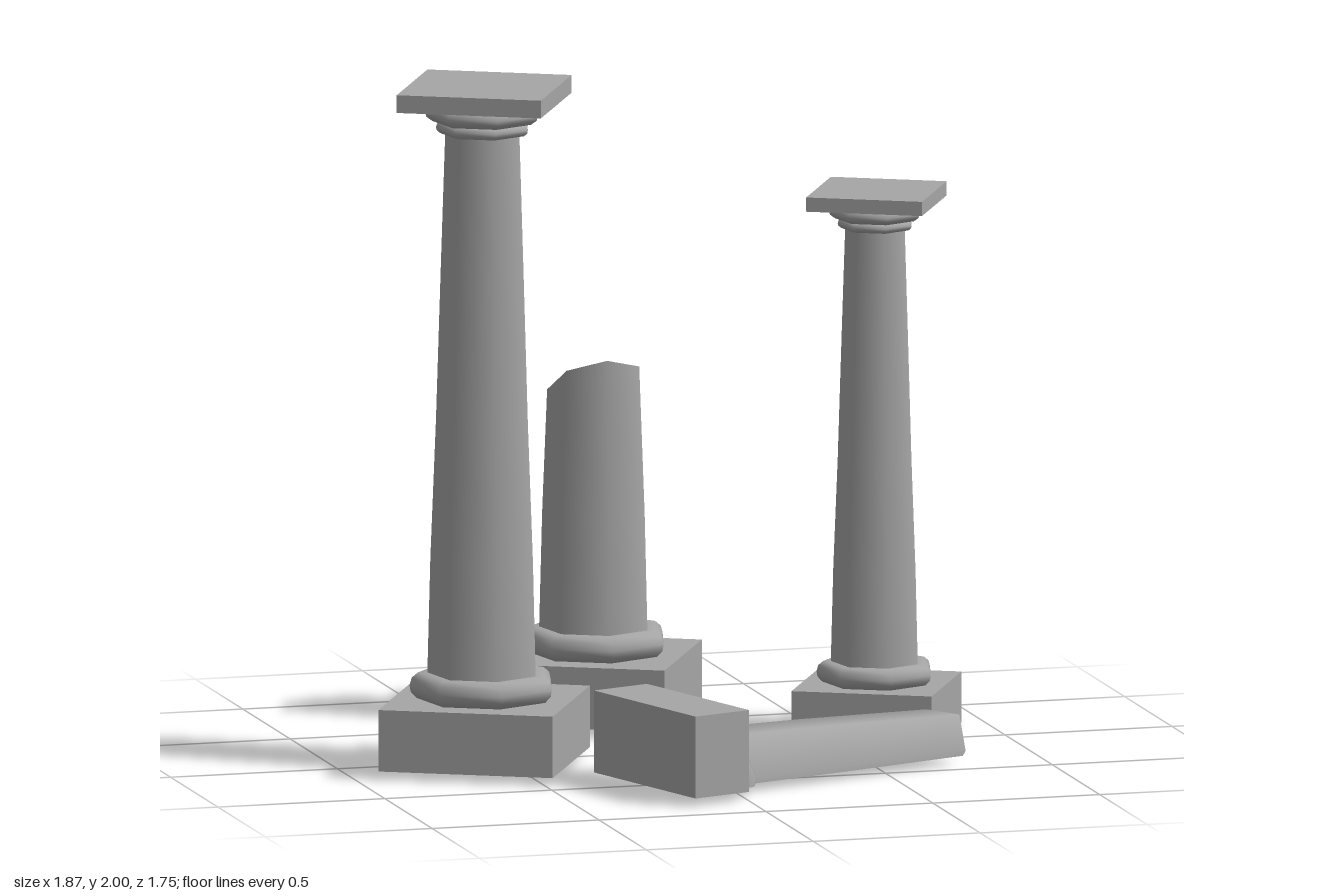
import * as THREE from 'three';

const SIDES = 7;
const material = new THREE.MeshStandardMaterial({ color: 0xa6a6a6, side: THREE.DoubleSide });

// Keeps the part of a geometry on the positive side of a plane; also returns the cut segments
function clip(source, plane) {
  const geo = source.index ? source.toNonIndexed() : source;
  const P = geo.attributes.position, N = geo.attributes.normal;
  const pos = [], nor = [], segments = [];
  for (let i = 0; i < P.count; i += 3) {
    const corners = [0, 1, 2].map((k) => {
      const p = new THREE.Vector3().fromBufferAttribute(P, i + k);
      return { p, n: new THREE.Vector3().fromBufferAttribute(N, i + k), d: plane.distanceToPoint(p) };
    });
    const poly = [], cut = [];
    corners.forEach((a, k) => {
      const b = corners[(k + 1) % 3];
      if (a.d >= 0) poly.push(a);
      if (a.d >= 0 !== b.d >= 0) {
        const t = a.d / (a.d - b.d);
        const c = { p: a.p.clone().lerp(b.p, t), n: a.n.clone().lerp(b.n, t).normalize() };
        poly.push(c);
        cut.push(c.p);
      }
    });
    if (cut.length === 2) segments.push(cut);
    for (let k = 1; k + 1 < poly.length; k++) {
      for (const v of [poly[0], poly[k], poly[k + 1]]) {
        pos.push(...v.p.toArray());
        nor.push(...v.n.toArray());
      }
    }
  }
  return { geometry: makeGeometry(pos, nor), segments };
}

function makeGeometry(pos, nor) {
  const geo = new THREE.BufferGeometry();
  geo.setAttribute('position', new THREE.Float32BufferAttribute(pos, 3));
  geo.setAttribute('normal', new THREE.Float32BufferAttribute(nor, 3));
  return geo;
}

// Flat face closing a convex cut
function capFace(segments, normal) {
  const centre = new THREE.Vector3();
  segments.forEach(([a, b]) => centre.add(a).add(b));
  centre.divideScalar(segments.length * 2);
  const pos = [], nor = [];
  for (const [a, b] of segments) {
    const cross = a.clone().sub(centre).cross(b.clone().sub(centre));
    const tri = cross.dot(normal) > 0 ? [centre, a, b] : [centre, b, a];
    for (const v of tri) {
      pos.push(...v.toArray());
      nor.push(...normal.toArray());
    }
  }
  return makeGeometry(pos, nor);
}

const lathe = (points) =>
  new THREE.LatheGeometry(points.map(([r, y]) => new THREE.Vector2(r, y)), SIDES);

const slab = (size, bottom, top) =>
  new THREE.BoxGeometry(size, top - bottom, size).translate(0, (top + bottom) / 2, 0);

// Rounded moulding between two heights
function moulding(inner, outer, bottom, top) {
  const h = top - bottom, bulge = outer - inner;
  const steps = [[0, 0], [0.65, 0], [0.95, 0.25], [1, 0.5], [0.9, 0.8], [0.6, 1], [0, 1]];
  return lathe(steps.map(([r, y]) => [inner + bulge * r, bottom + h * y]));
}

// One column, standing on its local origin, placed by a matrix and cut off at ground level
function column(name, matrix, ground, broken) {
  const parts = {
    plinth: slab(0.514, 0, 0.187),
    baseMoulding: moulding(0.155, 0.215, 0.187, 0.262),
    shaft: lathe([[0.164, 0.25], [0.155, 0.6], [0.139, 1.0], [0.125, 1.45], [0.112, 1.85]]),
  };
  if (broken) {
    // Slanting break across the shaft
    const normal = new THREE.Vector3(-0.285, -1, -0.555);
    const plane = new THREE.Plane(normal, 0.978).normalize();
    const cut = clip(parts.shaft, plane);
    parts.shaft = cut.geometry;
    parts.brokenFace = capFace(cut.segments, plane.normal.clone().negate());
  } else {
    parts.neckRing = moulding(0.105, 0.139, 1.842, 1.877);
    parts.capitalMoulding = moulding(0.11, 0.17, 1.877, 1.93);
    parts.topSlab = slab(0.425, 1.93, 1.982);
  }
  const group = new THREE.Group();
  group.name = name;
  const groundPlane = new THREE.Plane(new THREE.Vector3(0, 1, 0), -ground);
  for (const [part, geo] of Object.entries(parts)) {
    const mesh = new THREE.Mesh(clip(geo.applyMatrix4(matrix), groundPlane).geometry, material);
    mesh.name = part;
    group.add(mesh);
  }
  return group;
}

const standing = (x, y, z, scale = 1) =>
  new THREE.Matrix4().makeRotationY(Math.PI - 0.487)
    .scale(new THREE.Vector3(scale, scale, scale)).setPosition(x, y, z);

export function createModel() {
  const model = new THREE.Group();
  model.name = 'ruinedColumns';

  // Lying column: its axis is level and it is half sunk in the ground
  const axis = new THREE.Vector3(0.945, 0, -0.325).normalize();
  const down = new THREE.Vector3(0, -1, 0);
  const lying = new THREE.Matrix4()
    .makeBasis(axis.clone().cross(down), axis, down).setPosition(-0.2575, 0.008, 0.6275);

  model.add(
    column('tallColumn', standing(-0.5875, 0.018, 0.095), 0.025, false),
    column('smallColumn', standing(0.655, 0, -0.142, 0.803), 0.001, false),
    column('brokenStump', standing(-0.075, 0.018, -0.531), 0.025, true),
    column('fallenColumn', lying, 0.025, true),
  );
  return model;
}
